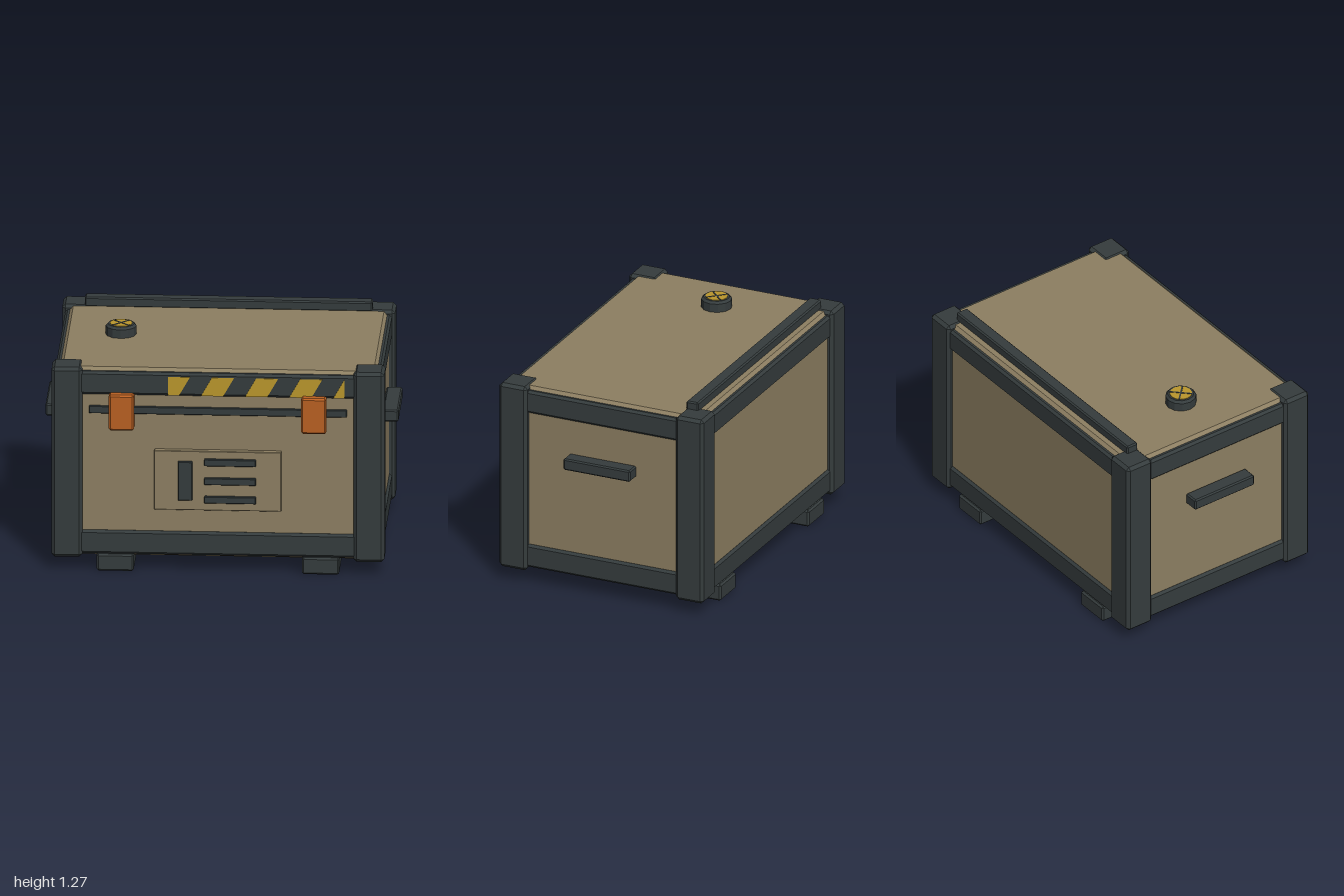
import * as THREE from 'three';
import { ConvexGeometry } from 'three/addons/geometries/ConvexGeometry.js';

const material = (name, color) => {
  const m = new THREE.MeshStandardMaterial({ color });
  m.name = name;
  return m;
};

// Box between two corners with every edge chamfered by c
function chamferBox([x0, y0, z0], [x1, y1, z1], c) {
  const mid = new THREE.Vector3(x0 + x1, y0 + y1, z0 + z1).multiplyScalar(0.5);
  const h = [(x1 - x0) / 2, (y1 - y0) / 2, (z1 - z0) / 2];
  const points = [];
  for (const sx of [-1, 1]) for (const sy of [-1, 1]) for (const sz of [-1, 1])
    for (let axis = 0; axis < 3; axis++) {
      const [x, y, z] = h.map((v, i) => (i === axis ? v : v - c));
      points.push(new THREE.Vector3(sx * x, sy * y, sz * z));
    }
  return new ConvexGeometry(points).translate(mid.x, mid.y, mid.z);
}

export function createModel() {
  const tan = material('tan panel', 0x8d7f62);
  const dark = material('dark steel', 0x353c3d);
  const orange = material('orange latch', 0xb96022);
  const yellow = material('hazard yellow', 0xba972c);

  const model = new THREE.Group();
  model.name = 'crate';
  const add = (name, geometry, mat) => {
    const mesh = new THREE.Mesh(geometry, mat);
    mesh.name = name;
    model.add(mesh);
    return mesh;
  };
  const box = (name, min, max, c, mat) => add(name, chamferBox(min, max, c), mat);

  // Main body
  box('body', [-0.91, 0.085, -0.625], [0.91, 1.205, 0.595], 0.03, tan);

  // Corner posts
  for (const [x0, x1] of [[-0.943, -0.768], [0.768, 0.943]])
    for (const [z0, z1] of [[-0.655, -0.48], [0.45, 0.625]])
      box('cornerPost', [x0, 0.08, z0], [x1, 1.212, z1], 0.018, dark);

  // Upper and lower rails on all four sides
  for (const [y0, y1] of [[0.1, 0.24], [1.05, 1.187]]) {
    box('frontRail', [-0.82, y0, 0.55], [0.82, y1, 0.61], 0.014, dark);
    box('backRail', [-0.82, y0, -0.64], [0.82, y1, -0.58], 0.014, dark);
    box('rightRail', [-0.925, y0, -0.53], [-0.865, y1, 0.5], 0.014, dark);
    box('leftRail', [0.865, y0, -0.53], [0.925, y1, 0.5], 0.014, dark);
  }

  // Mirrored skids, side handles and latches
  for (const s of [-1, 1]) {
    const pair = (name, centre, width, y, z, c, mat) =>
      box(name, [s * centre - width / 2, y[0], z[0]], [s * centre + width / 2, y[1], z[1]], c, mat);
    pair('skid', 0.582, 0.21, [0, 0.1], [-0.645, 0.615], 0.01, dark);
    pair('sideHandle', 0.955, 0.09, [0.778, 0.847], [-0.225, 0.193], 0.008, dark);
    pair('latch', 0.545, 0.142, [0.853, 1.065], [0.59, 0.66], 0.01, orange);
  }

  // Front latch bar and rear hinge bar
  box('latchBar', [-0.73, 0.94, 0.585], [0.73, 0.983, 0.612], 0.003, dark);
  box('hingeBar', [-0.815, 1.2, -0.565], [0.815, 1.258, -0.49], 0.008, dark);

  // Front plate with its raised slats
  box('frontPlate', [-0.36, 0.377, 0.58], [0.36, 0.73, 0.628], 0.003, tan);
  box('uprightSlat', [-0.225, 0.44, 0.615], [-0.143, 0.67, 0.648], 0.003, dark);
  for (const y of [0.445, 0.555, 0.667])
    box('levelSlat', [-0.075, y - 0.02, 0.615], [0.217, y + 0.02, 0.648], 0.003, dark);

  // Hazard strip: slanted yellow bands clipped to the strip ends
  const x0 = -0.283, x1 = 0.717, bottom = 1.055, top = 1.165, slant = 0.062;
  const thin = { depth: 0.004, bevelEnabled: false };
  for (let i = 0; i < 5; i++) {
    const a = x0 + i * 0.25, b = a + 0.125; // ends along the top edge
    const corners = [];
    if (i === 0) corners.push([x0, bottom], [b - slant, bottom], [b, top], [x0, top]);
    else if (i === 4) corners.push([a - slant, bottom], [x1, bottom], [x1, top]);
    else corners.push([a - slant, bottom], [b - slant, bottom], [b, top], [a, top]);
    const shape = new THREE.Shape(corners.map(([x, y]) => new THREE.Vector2(x, y)));
    add('hazardBand', new THREE.ExtrudeGeometry(shape, thin).translate(0, 0, 0.609), yellow);
  }

  // Round cap on the lid with a crossed yellow face
  const cx = -0.583, cz = -0.018;
  const disc = (name, rTop, rBottom, y0, y1, mat) => {
    const g = new THREE.CylinderGeometry(rTop, rBottom, y1 - y0, 12).toNonIndexed();
    g.computeVertexNormals();
    add(name, g.translate(cx, (y0 + y1) / 2, cz), mat);
  };
  disc('capBase', 0.088, 0.088, 1.2, 1.255, dark);
  disc('capRim', 0.075, 0.088, 1.255, 1.268, dark);
  disc('capFace', 0.064, 0.064, 1.266, 1.271, yellow);
  for (const angle of [Math.PI / 4, -Math.PI / 4]) {
    const g = new THREE.BoxGeometry(0.128, 0.004, 0.009).rotateY(angle);
    add('capCross', g.translate(cx, 1.271, cz), dark);
  }

  return model;
}
